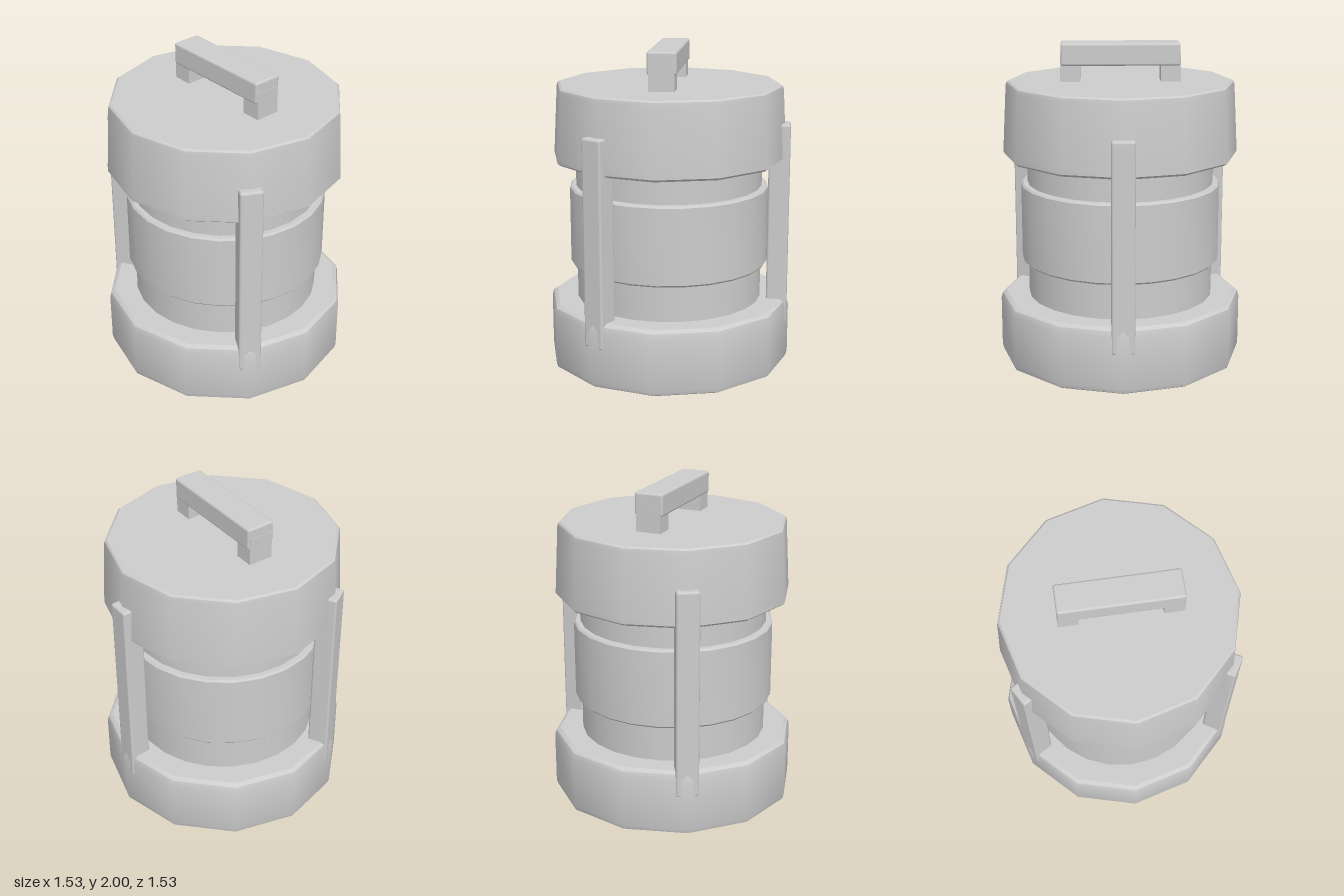
import * as THREE from 'three';
import { toCreasedNormals } from 'three/addons/utils/BufferGeometryUtils.js';
import { RoundedBoxGeometry } from 'three/addons/geometries/RoundedBoxGeometry.js';

export function createModel() {
  const model = new THREE.Group();
  model.name = 'lantern';
  const grey = new THREE.MeshStandardMaterial({ color: 0xcccccc });
  grey.name = 'light grey';

  function add(name, geometry, parent = model) {
    const mesh = new THREE.Mesh(geometry, grey);
    mesh.name = name;
    parent.add(mesh);
    return mesh;
  }

  // Solid of revolution from [radius, height] pairs, listed bottom to top
  function turned(name, sides, profile) {
    const points = profile.map(([r, y]) => new THREE.Vector2(r, y));
    return add(name, toCreasedNormals(new THREE.LatheGeometry(points, sides), 0.6));
  }

  function block(name, w, h, d, x, y, z, bevel, parent) {
    add(name, new RoundedBoxGeometry(w, h, d, 2, bevel), parent).position.set(x, y, z);
  }

  // Twelve-sided base and tapered lid with softened rims
  turned('base', 12, [[0, 0], [0.735, 0], [0.757, 0.012], [0.765, 0.04],
    [0.765, 0.36], [0.755, 0.395], [0.73, 0.412], [0, 0.412]]);
  turned('lid', 12, [[0, 1.3], [0.71, 1.3], [0.73, 1.315], [0.729, 1.345],
    [0.707, 1.735], [0.703, 1.755], [0.69, 1.765], [0, 1.765]]);

  // Inner cylinder and the wider band around it
  turned('body', 24, [[0, 0.38], [0.583, 0.38], [0.583, 1.33], [0, 1.33]]);
  turned('band', 24, [[0.57, 0.638], [0.612, 0.638], [0.623, 0.65],
    [0.623, 1.122], [0.612, 1.134], [0.57, 1.134]]);

  // Three upright guard bars, a third of a turn apart
  for (let i = 0; i < 3; i++) {
    const guard = new THREE.Group();
    guard.name = 'guardBar' + (i + 1);
    guard.rotation.y = (i * Math.PI * 2) / 3;
    block('bar', 0.13, 1.28, 0.14, 0.69, 0.89, 0, 0.015, guard);
    model.add(guard);
  }

  // Carrying handle: two posts and a grip
  const handle = new THREE.Group();
  handle.name = 'handle';
  for (const side of [-1, 1]) {
    add('handlePost', new THREE.BoxGeometry(0.155, 0.19, 0.122), handle)
      .position.set(0, 1.84, side * 0.307);
  }
  block('handleGrip', 0.18, 0.137, 0.73, 0, 1.9315, 0, 0.015, handle);
  model.add(handle);

  return model;
}
